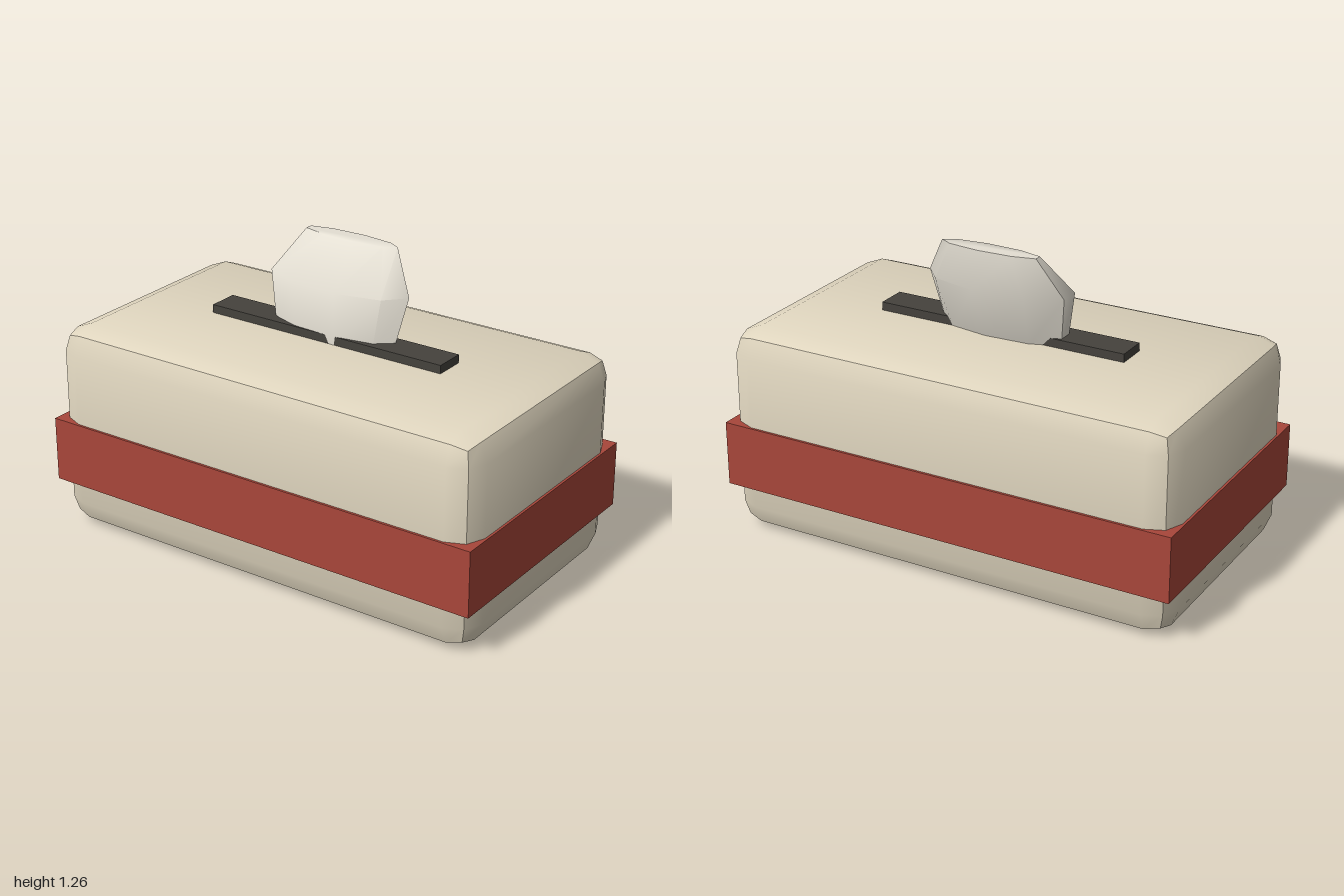
import * as THREE from 'three';
import { toCreasedNormals } from 'three/addons/utils/BufferGeometryUtils.js';
import { RoundedBoxGeometry } from 'three/addons/geometries/RoundedBoxGeometry.js';

function part(name, geometry, color, y = 0) {
  const mesh = new THREE.Mesh(geometry, new THREE.MeshStandardMaterial({ color }));
  mesh.name = name;
  mesh.position.y = y;
  return mesh;
}

// Nine-sided tissue: three elliptical rings that lean back towards the top
function tissueGeometry() {
  const rings = [ // bottom to top: height, half width, half depth, z centre
    { y: 0.87, rx: 0.28, rz: 0.08, z: -0.012 },
    { y: 1.1, rx: 0.325, rz: 0.13, z: -0.055 },
    { y: 1.265, rx: 0.22, rz: 0.045, z: -0.13 },
  ];
  const geometry = new THREE.CylinderGeometry(1, 1, 2, 9, 2, false, Math.PI / 2);
  const pos = geometry.attributes.position;
  for (let i = 0; i < pos.count; i++) {
    const r = rings[Math.round(pos.getY(i)) + 1];
    pos.setXYZ(i, pos.getX(i) * r.rx, r.y, pos.getZ(i) * r.rz + r.z);
  }
  return toCreasedNormals(geometry, 0.85);
}

export function createModel() {
  const group = new THREE.Group();
  group.name = 'tissueBox';

  // Box with two-step bevels, creased along the middle of each bevel
  const box = toCreasedNormals(new RoundedBoxGeometry(1.98, 0.88, 1.1, 1, 0.11), 0.55);
  group.add(part('box', box, 0xe0d6bf, 0.44));

  // Band around the box
  group.add(part('band', new THREE.BoxGeometry(2, 0.275, 1.12), 0xa8463a, 0.3325));

  // Dark slot strip on the lid
  group.add(part('slot', new THREE.BoxGeometry(1.1, 0.045, 0.132), 0x45423d, 0.8925));

  group.add(part('tissue', tissueGeometry(), 0xe4dfd3));
  return group;
}
